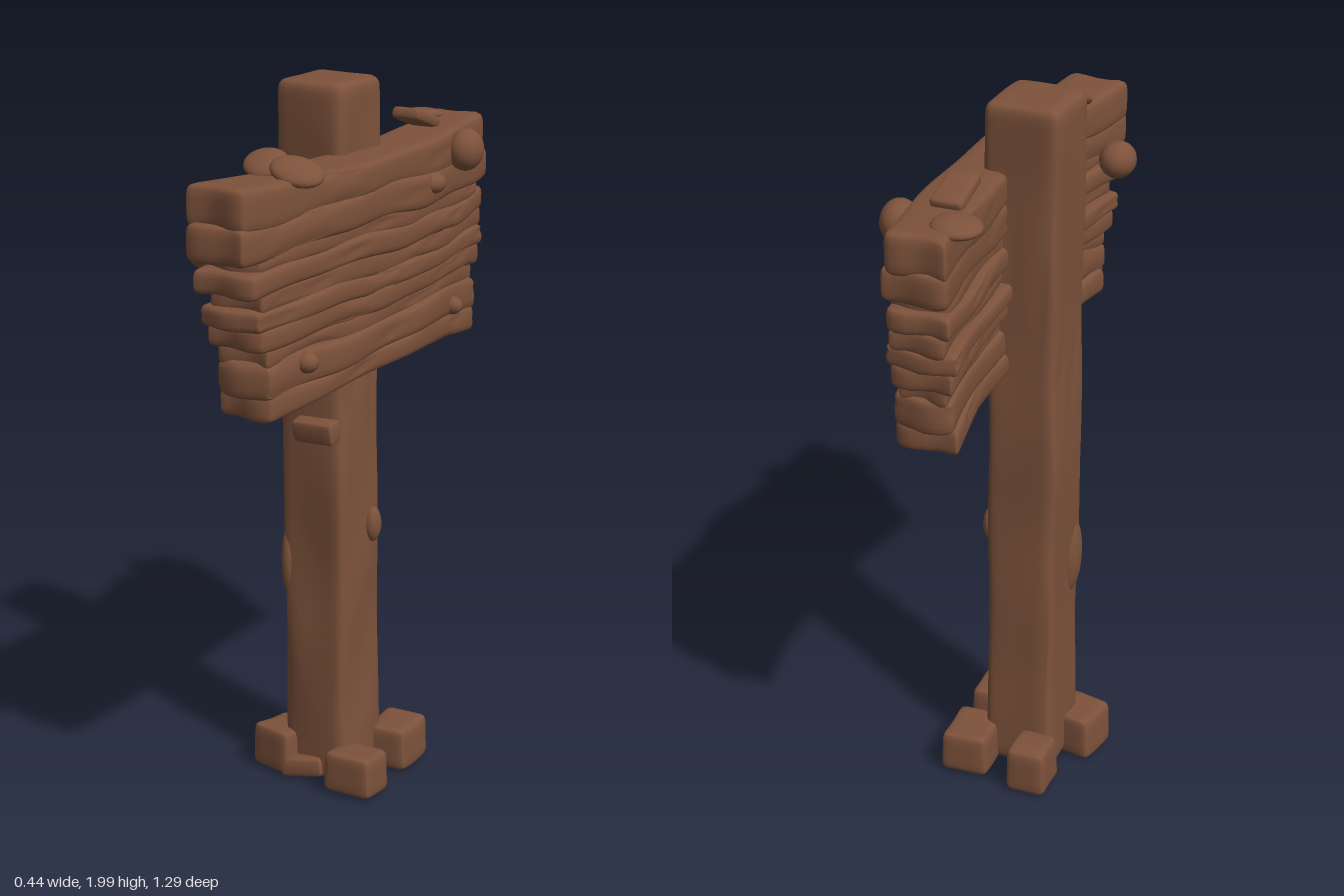
import * as THREE from 'three';
import { mergeVertices } from 'three/addons/utils/BufferGeometryUtils.js';

const wood = new THREE.MeshStandardMaterial({ color: 0x7d523b });
wood.name = 'brown wood';

// Smooth-shaded box with rounded edges; warp(v) may reshape each vertex.
function roundedBlock(name, size, segments, radius, warp) {
  const box = new THREE.BoxGeometry(2, 2, 2, ...segments);
  box.deleteAttribute('uv');
  box.deleteAttribute('normal');
  const geo = mergeVertices(box);
  const pos = geo.attributes.position;
  const half = new THREE.Vector3(...size).multiplyScalar(0.5);
  const inner = half.clone().subScalar(radius);
  const v = new THREE.Vector3(), c = new THREE.Vector3();
  for (let i = 0; i < pos.count; i++) {
    v.fromBufferAttribute(pos, i);
    // pack grid lines towards the edges
    v.set(...v.toArray().map((u) => Math.sin(u * Math.PI / 2))).multiply(half);
    c.copy(v).clamp(inner.clone().negate(), inner);
    v.sub(c);
    if (v.lengthSq() > 0) v.setLength(Math.min(radius, v.length() * 1.6));
    v.add(c);
    if (warp) warp(v);
    pos.setXYZ(i, v.x, v.y, v.z);
  }
  geo.computeVertexNormals();
  const mesh = new THREE.Mesh(geo, wood);
  mesh.name = name;
  return mesh;
}

// Narrow groove profile: 0 mostly, 1 in the crack.
const groove = (t) => Math.pow(Math.max(0, Math.sin(t)), 10);

function place(mesh, position, rotation = [0, 0, 0]) {
  mesh.position.set(...position);
  mesh.rotation.set(...rotation);
  return mesh;
}

function pebble(name, position, radii, rotation) {
  const mesh = new THREE.Mesh(new THREE.SphereGeometry(1, 20, 14), wood);
  mesh.name = name;
  mesh.scale.set(...radii);
  return place(mesh, position, rotation);
}

function createPost() {
  return roundedBlock('post', [0.2, 1.98, 0.205], [14, 40, 14], 0.03, (v) => {
    const y = v.y + 1.0;
    const x0 = v.x, z0 = v.z;
    const flare = 1 + 0.05 * Math.max(0, y - 1.1) + 0.03 * Math.max(0, 0.5 - y);
    const ripple = 0.004 * Math.sin(y * 7 + x0 * 20) + 0.003 * Math.sin(y * 13 + z0 * 25);
    const fade = Math.max(0, Math.sin(y * Math.PI / 2));
    const cutX = 0.008 * fade * groove(z0 * 70 + Math.sin(y * 5)) * Math.max(0, Math.sin(y * 6 + 1));
    const cutZ = 0.008 * fade * groove(x0 * 70 + Math.sin(y * 4)) * Math.max(0, Math.sin(y * 5));
    if (Math.abs(x0) > 0.085) v.x -= Math.sign(x0) * cutX;
    if (Math.abs(z0) > 0.085) v.z -= Math.sign(z0) * cutZ;
    v.x = v.x * flare + ripple - 0.023 - 0.012 * Math.min(1, y);
    v.z = v.z * flare + ripple - 0.045 + 0.008 * y / 2;
    v.y = y;
  });
}

// Curve of the whole sign: bowed in plan, sagging along its edges.
const bow = (z) => 0.095 + 0.048 * z - 0.13 * z * z;
const sag = (y, z) => (0.04 - 0.055 * (y - 1.2) / 0.62) * (1 - (z / 0.6) ** 2);

function createBoard() {
  const board = new THREE.Group();
  board.name = 'signBoard';
  // bottom, top, rear z, front z, back x, face x (relative to the bow)
  const strips = [
    [1.200, 1.275, -0.565, 0.530, -0.085, 0.085],
    [1.260, 1.355, -0.580, 0.550, -0.080, 0.090],
    [1.340, 1.400, -0.575, 0.535, -0.070, 0.075],
    [1.385, 1.455, -0.605, 0.560, -0.090, 0.085],
    [1.440, 1.500, -0.615, 0.585, -0.100, 0.090],
    [1.485, 1.555, -0.620, 0.560, -0.075, 0.082],
    [1.540, 1.610, -0.625, 0.600, -0.095, 0.090],
    [1.595, 1.655, -0.595, 0.570, -0.075, 0.080],
    [1.635, 1.735, -0.640, 0.640, -0.085, 0.090],
    [1.715, 1.820, -0.638, 0.625, -0.090, 0.083],
  ];
  strips.forEach(([y0, y1, z0, z1, x0, x1], i) => {
    const h = y1 - y0, cy = (y0 + y1) / 2;
    board.add(roundedBlock('plank', [x1 - x0, h, z1 - z0], [8, 8, 48], Math.min(0.025, h * 0.3), (v) => {
      const edge = v.y / h;
      const z = v.z + (z0 + z1) / 2 + Math.sign(v.z) * 0.008 * Math.sin(v.x * 40 + i * 2);
      let y = cy + v.y;
      // wavy seams, straight outer edges
      const inside = Math.min(1, Math.max(0, (y - 1.2) * 12), Math.max(0, (1.82 - y) * 12));
      y += inside * (0.009 * Math.sin(z * 6 + y * 8) + 0.004 * Math.sin(z * 17 + i));
      const crack = 0.008 * groove(edge * 9 + Math.sin(z * 7 + i) * 2) * Math.max(0, Math.sin(z * 11 + i * 2));
      const bump = 0.004 * Math.sin(z * 14 + i * 1.7);
      const x = v.x + (x0 + x1) / 2;
      v.x = bow(z) + x - Math.sign(x) * (crack + bump);
      v.y = y + sag(y, z);
      v.z = z;
    }));
  });
  return board;
}

export function createModel() {
  const model = new THREE.Group();
  model.name = 'woodenSign';
  model.add(createPost(), createBoard());

  // blocks around the foot: position, size, turn
  const blocks = [
    [[0.115, 0.068, 0.055], [0.145, 0.12, 0.125], 0.05],
    [[0.100, 0.070, -0.175], [0.135, 0.125, 0.16], 0.08],
    [[-0.100, 0.073, -0.205], [0.115, 0.135, 0.125], 0.04],
    [[-0.145, 0.073, 0.025], [0.135, 0.13, 0.135], -0.18],
  ];
  for (const [p, s, turn] of blocks) {
    model.add(place(roundedBlock('footBlock', s, [8, 8, 8], 0.02, (v) => {
      v.x *= 1 - v.y * 0.5;
      v.y += 0.004 * Math.sin(v.z * 30 + p[0] * 50);
    }), p, [0, turn, 0]));
  }
  model.add(place(roundedBlock('footWedge', [0.13, 0.06, 0.08], [6, 6, 6], 0.018), [-0.06, 0.04, 0.05], [0, 0.2, 0.15]));

  // wedge and knots on the post
  model.add(place(roundedBlock('postWedge', [0.13, 0.065, 0.06], [6, 6, 6], 0.015), [-0.005, 1.05, 0.07], [0.15, 0, 0.04]));
  model.add(pebble('postKnot', [-0.115, 0.64, 0.02], [0.03, 0.12, 0.045], [0, 0, 0.03]));
  model.add(pebble('postKnot', [0.075, 0.75, -0.09], [0.022, 0.05, 0.028]));

  // round pegs in the board
  const pegs = [
    [[0.160, 1.755, -0.42], [0.048, 0.058, 0.058]],
    [[0.155, 1.69, -0.255], [0.035, 0.03, 0.042]],
    [[0.180, 1.345, 0.39], [0.032, 0.028, 0.03]],
    [[0.140, 1.32, -0.39], [0.032, 0.026, 0.026]],
    [[-0.040, 1.63, 0.50], [0.052, 0.052, 0.058]],
  ];
  for (const [p, r] of pegs) model.add(pebble('peg', p, r));

  // chips lying on the top edge
  const chips = [
    [[0.150, 1.825, 0.385], [0.07, 0.025, 0.055], [0.45, 0.3, -0.4]],
    [[0.050, 1.835, 0.375], [0.06, 0.02, 0.055], [0.5, 0, -0.1]],
    [[-0.050, 1.815, -0.525], [0.066, 0.022, 0.058], [-0.15, 0.3, 0.1]],
  ];
  for (const [p, r, turn] of chips) model.add(pebble('topChip', p, r, turn));
  model.add(place(roundedBlock('topChip', [0.09, 0.035, 0.13], [6, 6, 6], 0.015), [0.03, 1.838, -0.37], [-0.35, 0, 0]));

  return model;
}
